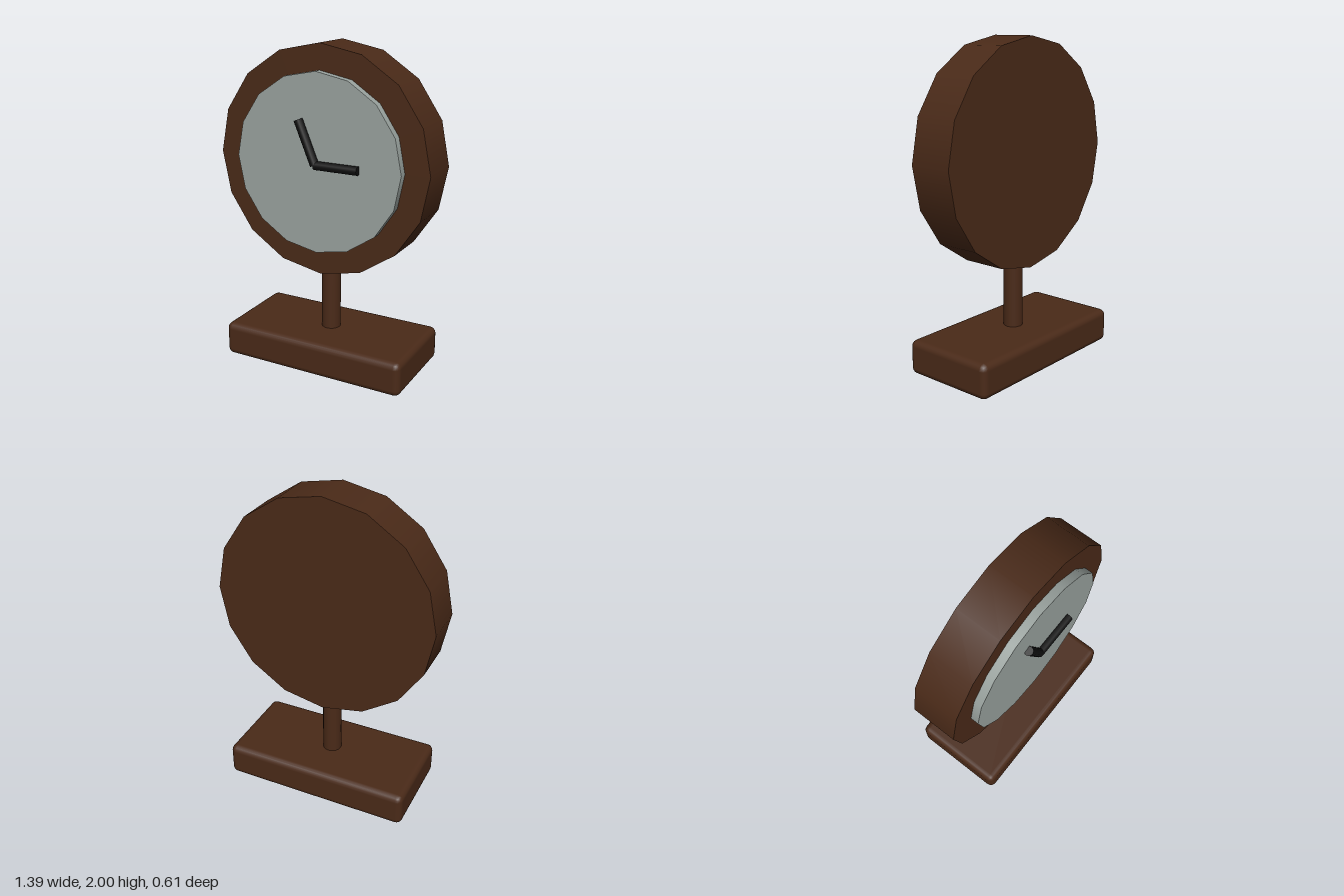
import * as THREE from 'three';
import { RoundedBoxGeometry } from 'three/addons/geometries/RoundedBoxGeometry.js';

const CENTRE_Y = 1.307;

export function createModel() {
  const model = new THREE.Group();
  model.name = 'deskClock';

  const wood = new THREE.MeshStandardMaterial({ color: 0x4a2a18 });
  const dialGrey = new THREE.MeshStandardMaterial({ color: 0x9aa39f });
  const black = new THREE.MeshStandardMaterial({ color: 0x111111 });

  const add = (name, geometry, material, x, y, z) => {
    const mesh = new THREE.Mesh(geometry, material);
    mesh.name = name;
    mesh.position.set(x, y, z);
    model.add(mesh);
    return mesh;
  };

  // Sixteen-sided disc facing +z, with a corner at the top
  const disc = (radius, depth) =>
    new THREE.CylinderGeometry(radius, radius, depth, 16).rotateX(Math.PI / 2);

  // Stand
  add('base', new RoundedBoxGeometry(1.21, 0.215, 0.605, 2, 0.04), wood, 0, 0.1075, 0);
  add('post', new THREE.CylinderGeometry(0.06, 0.06, 0.48, 16), wood, 0, 0.43, 0);

  // Clock head
  add('case', disc(0.693, 0.28), wood, 0, CENTRE_Y, 0);
  add('dial', disc(0.54, 0.1), dialGrey, 0, CENTRE_Y, 0.14);

  // Round rods starting at the dial centre; angle is measured from straight up
  const addHand = (name, length, angle) => {
    const rod = new THREE.CylinderGeometry(0.027, 0.027, length, 12);
    rod.translate(0, length / 2, 0);
    add(name, rod, black, 0, CENTRE_Y, 0.203).rotation.z = angle;
  };
  addHand('hourHand', 0.28, 0.393);
  addHand('minuteHand', 0.28, -Math.PI / 2);

  return model;
}
